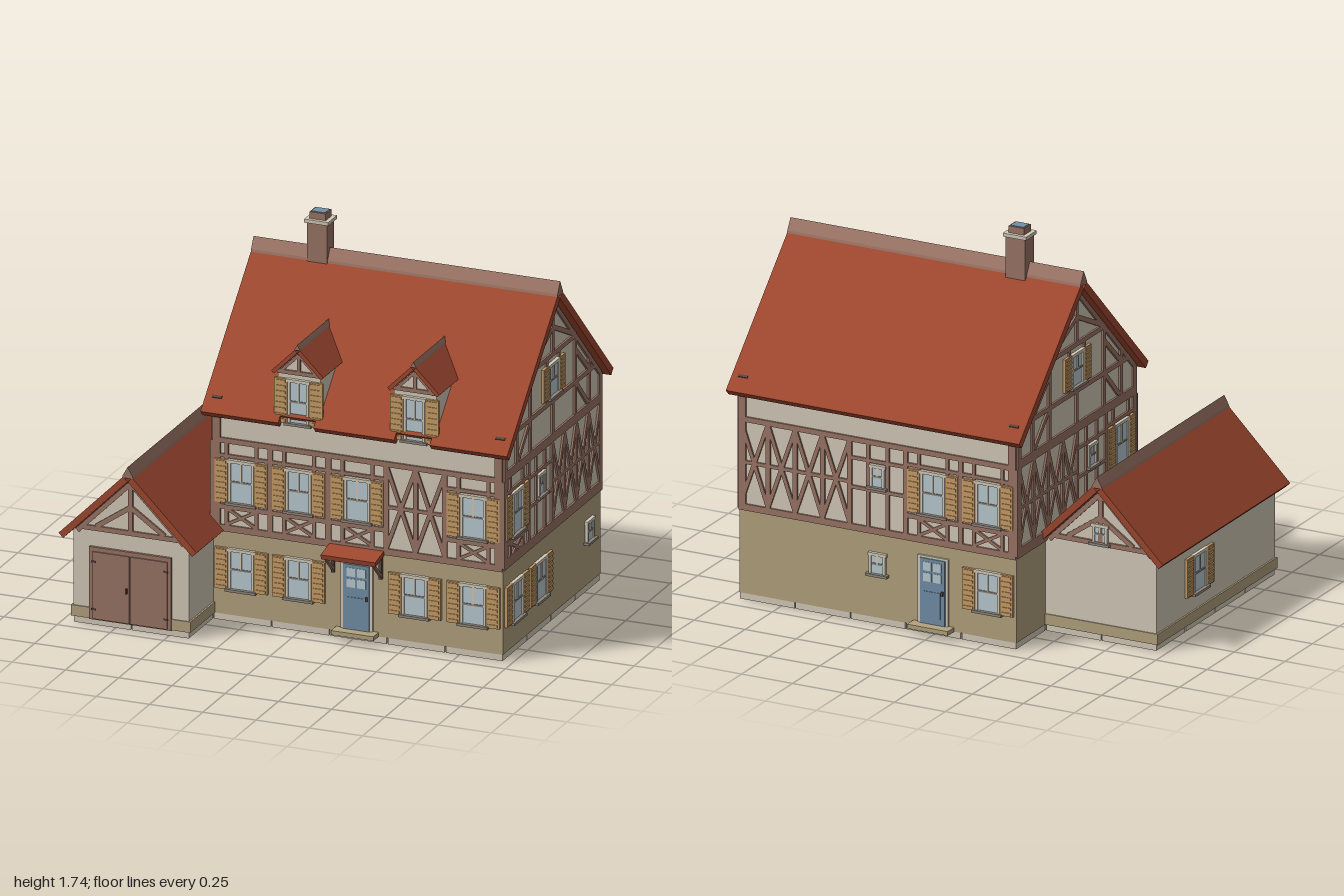
import * as THREE from 'three';

const mat = (name, color) => new THREE.MeshStandardMaterial({ name, color });

export function createModel() {
  const M = {
    roof: mat('roofTile', 0xa04830), plaster: mat('plaster', 0xd6cdbb), stone: mat('sandstone', 0xb4a37f),
    timber: mat('timber', 0x9c7666), shutter: mat('shutterWood', 0xcb9f68), glass: mat('glass', 0xbccdd4),
    door: mat('doorBlue', 0x7391aa), sill: mat('sillStone', 0x8f867c), iron: mat('iron', 0x57463f),
  };
  const model = new THREE.Group();
  model.name = 'house';

  const add = (parent, name, geo, m) => {
    const mesh = new THREE.Mesh(geo, m);
    mesh.name = name;
    parent.add(mesh);
    return mesh;
  };
  // box from centre and size
  const box = (p, name, m, x, y, z, w, h, d) => {
    const b = add(p, name, new THREE.BoxGeometry(w, h, d), m);
    b.position.set(x, y, z);
    return b;
  };
  const group = (p, name, x, y, z, ry = 0) => {
    const g = new THREE.Group();
    g.name = name;
    g.position.set(x, y, z);
    g.rotation.y = ry;
    p.add(g);
    return g;
  };
  const polygon = pts => new THREE.Shape(pts.map(p => new THREE.Vector2(...p)));
  const prism = (pts, depth, centred = true) => {
    const g = new THREE.ExtrudeGeometry(polygon(pts), { depth, bevelEnabled: false });
    return centred ? g.translate(0, 0, -depth / 2) : g;
  };

  // Gable-ended body: profile faces local z
  const gableBody = (p, name, half, y0, y1, apex, depth) =>
    add(p, name, prism([[-half, y0], [half, y0], [half, y1], [0, apex], [-half, y1]], depth), M.plaster);

  // Pitched roof, ridge along local x at the origin; notches cut the front eave
  function pitchedRoof(p, name, width, run, pitch, t, cap, notches = []) {
    const s = run / Math.cos(pitch), w = width / 2;
    [0, 1].forEach(back => {
      const pts = [[w, 0], [-w, 0], [-w, -s]];
      if (!back) for (const [a, b, top] of notches) pts.push([a, -s], [a, -top], [b, -top], [b, -s]);
      pts.push([w, -s]);
      const side = group(p, name + (back ? 'Back' : 'Front'), 0, 0, 0, back * Math.PI);
      add(side, name + 'Slope', prism(pts, t, false), M.roof).rotation.x = pitch - Math.PI / 2;
    });
    const top = t / Math.cos(pitch);
    add(p, 'ridgeCap', prism([[-cap, top - cap], [cap, top - cap], [cap * 0.9, top - cap * 0.6],
      [0, top + cap], [-cap * 0.9, top - cap * 0.6]], width), M.timber).rotation.y = Math.PI / 2;
  }

  // Wall fittings: local x along the wall, y up, z outward
  function beam(p, x1, y1, x2, y2, w = 0.022) {
    const b = box(p, 'beam', M.timber, (x1 + x2) / 2, (y1 + y2) / 2, 0.003,
      Math.hypot(x2 - x1, y2 - y1), w, 0.012);
    b.rotation.z = Math.atan2(y2 - y1, x2 - x1);
  }
  const post = (p, x, y0, y1, w) => beam(p, x, y0, x, y1, w);
  const cross = (p, x0, x1, y0, y1, w = 0.018) => {
    beam(p, x0, y0, x1, y1, w);
    beam(p, x0, y1, x1, y0, w);
  };
  function windowAt(p, x, y0, y1, w = 0.12, shutters = true) {
    const h = y1 - y0, g = group(p, 'window', x, (y0 + y1) / 2, 0);
    box(g, 'glass', M.glass, 0, 0, 0.005, w, h, 0.008);
    for (const s of [-1, 1]) {
      box(g, 'frameSide', M.plaster, s * (w / 2 - 0.006), 0, 0.008, 0.012, h, 0.014);
      if (!shutters) continue;
      const leaf = group(g, 'shutter', s * (w / 2 + 0.033), 0, 0);
      box(leaf, 'shutterLeaf', M.shutter, 0, 0, 0.008, 0.062, h, 0.012);
      for (let i = 0; i < 8; i++)
        box(leaf, 'slat', M.shutter, 0, h * ((i + 0.5) / 8 - 0.5), 0.015, 0.046, h / 16, 0.006);
    }
    box(g, 'frameTop', M.plaster, 0, h / 2 - 0.006, 0.008, w + 0.01, 0.014, 0.016);
    box(g, 'sashRail', M.sill, 0, 0, 0.009, w - 0.02, 0.008, 0.008);
    box(g, 'mullion', M.plaster, 0, h / 4, 0.009, 0.008, h / 2, 0.008);
    box(g, 'sill', M.sill, 0, -h / 2, 0.012, w + 0.025, 0.012, 0.028);
  }
  function doorAt(p, x) {
    const g = group(p, 'frontDoor', x, 0, 0);
    box(g, 'doorFrame', M.plaster, 0, 0.2, 0.003, 0.15, 0.32, 0.012);
    box(g, 'doorLeaf', M.door, 0, 0.2, 0.008, 0.122, 0.3, 0.012);
    for (const s of [-1, 1])
      for (const y of [0.265, 0.315]) box(g, 'doorPane', M.glass, s * 0.025, y, 0.014, 0.04, 0.04, 0.004);
    box(g, 'doorPanel', M.door, 0, 0.14, 0.014, 0.08, 0.12, 0.006);
    box(g, 'doorHandle', M.iron, 0.05, 0.2, 0.018, 0.008, 0.02, 0.01);
    box(g, 'step', M.stone, 0, 0.04, 0.03, 0.2, 0.02, 0.06);
  }

  // Foundation tiles
  const tiles = (x0, z0, nx, nz) => {
    for (let i = 0; i < nx; i++) for (let j = 0; j < nz; j++)
      box(model, 'foundationSlab', M.plaster, x0 + 0.272 * (i + 0.5), 0.015, z0 + 0.2725 * (j + 0.5), 0.266, 0.03, 0.266);
  };
  tiles(-0.405, -0.67, 5, 4);
  tiles(-0.949, -0.4, 2, 4);

  // Main house
  const house = group(model, 'mainHouse', 0.275, 0, -0.125);
  box(house, 'groundFloor', M.stone, 0, 0.225, 0, 1.36, 0.39, 1.09);
  gableBody(house, 'upperFloors', 0.545, 0.42, 0.966, 1.492, 1.36).rotation.y = Math.PI / 2;
  const pitch = Math.atan(0.966);
  const cut = 0.545 / Math.cos(pitch);
  const roof = group(house, 'mainRoof', 0, 1.495, 0);
  pitchedRoof(roof, 'mainRoof', 1.44, 0.57, pitch, 0.035, 0.032,
    [-0.2725, 0.2725].map(c => [c - 0.083, c + 0.083, cut]));
  for (const sx of [-1, 1]) for (const sz of [-1, 1]) {
    const hook = box(house, 'roofHook', M.iron, sx * 0.665, 1.026, sz * 0.538, 0.045, 0.006, 0.012);
    hook.rotation.x = sz * pitch;
  }

  // Timber bay with a window: outer posts, jambs, rails and a small cross
  function windowBay(p, x) {
    for (const s of [-1, 1]) {
      post(p, x + s * 0.135, 0.43, 0.83);
      post(p, x + s * 0.07, 0.43, 0.83, 0.016);
    }
    beam(p, x - 0.135, 0.53, x + 0.135, 0.53);
    beam(p, x - 0.135, 0.765, x + 0.135, 0.765, 0.016);
    cross(p, x - 0.065, x + 0.065, 0.45, 0.52, 0.014);
    windowAt(p, x, 0.55, 0.75);
  }
  // Run of tall crosses
  function crossBays(p, x0, x1, n, y0, y1) {
    const w = (x1 - x0) / n;
    for (let i = 0; i <= n; i++) post(p, x0 + i * w, y0, y1);
    for (let i = 0; i < n; i++) cross(p, x0 + i * w, x0 + (i + 1) * w, y0, y1);
    beam(p, x0, (y0 + y1) / 2, x1, (y0 + y1) / 2, 0.016);
  }
  function smallBay(p, x) {
    for (const s of [-1, 1]) post(p, x + s * 0.048, 0.43, 0.83, 0.016);
    beam(p, x - 0.13, 0.615, x + 0.13, 0.615, 0.016);
    beam(p, x - 0.13, 0.75, x + 0.13, 0.75, 0.016);
    windowAt(p, x, 0.63, 0.735, 0.072, false);
  }
  function eavesWall(p, x0, x1) {
    beam(p, x0, 0.43, x1, 0.43, 0.03);
    beam(p, x0, 0.835, x1, 0.835, 0.024);
    for (const x of [x0 + 0.018, x1 - 0.018]) post(p, x, 0.42, 0.95, 0.036);
  }

  // Front wall
  const front = group(model, 'frontWall', 0, 0, 0.42);
  eavesWall(front, -0.405, 0.955);
  [-0.27, 0, 0.275, 0.82].forEach(x => windowBay(front, x));
  crossBays(front, 0.41, 0.685, 2, 0.445, 0.83);
  [-0.27, 0, 0.545, 0.82].forEach(x => windowAt(front, x, 0.15, 0.34));
  doorAt(front, 0.272);
  const canopy = box(front, 'doorCanopy', M.roof, 0.272, 0.412, 0.052, 0.256, 0.022, 0.108);
  canopy.rotation.x = 0.2;
  for (const s of [-1, 1]) {
    const x = 0.272 + s * 0.112;
    box(front, 'canopyBracket', M.iron, x, 0.35, 0.006, 0.014, 0.1, 0.012);
    box(front, 'canopyStrut', M.timber, x, 0.35, 0.045, 0.012, 0.012, 0.12).rotation.x = -0.75;
  }

  // Back wall
  const back = group(model, 'backWall', 0, 0, -0.67, Math.PI);
  eavesWall(back, -0.955, 0.405);
  crossBays(back, -0.945, -0.41, 4, 0.445, 0.83);
  smallBay(back, -0.272);
  [0, 0.27].forEach(x => windowBay(back, x));
  windowAt(back, 0.27, 0.15, 0.34);
  windowAt(back, -0.272, 0.23, 0.33, 0.08, false);
  doorAt(back, 0);

  // Gable walls, mirrored by m; distances run toward the back from the ridge
  function gableWall(p, m) {
    const at = z => -m * (z + 0.125);
    beam(p, -0.545, 0.443, 0.545, 0.443, 0.046);
    beam(p, -0.545, 0.85, 0.545, 0.85, 0.042);
    for (const s of [-1, 1]) {
      post(p, s * 0.53, 0.46, 0.965, 0.03);
      post(p, s * 0.405, 0.87, 1.09);
      post(p, s * 0.25, 0.87, 1.235);
      post(p, s * 0.068, 1.02, 1.235, 0.018);
      beam(p, s * 0.25, 1.02, s * 0.39, 0.875);
      beam(p, s * 0.25, 1.17, s * 0.4, 1.03);
      beam(p, s * 0.25, 1.24, 0, 1.36);
      beam(p, 0, 1.475, s * 0.53, 0.963);
    }
    beam(p, -0.48, 1.02, 0.48, 1.02);
    beam(p, -0.25, 1.235, 0.25, 1.235);
    post(p, 0, 0.87, 1.02);
    post(p, 0, 1.235, 1.48);
    windowAt(p, 0, 1.045, 1.2, 0.11);
    windowBay(p, at(0.28));
    smallBay(p, at(0.012));
    const a = at(-0.12), b = at(-0.655);
    crossBays(p, Math.min(a, b), Math.max(a, b), 4, 0.465, 0.83);
  }
  const right = group(model, 'rightGable', 0.955, 0, -0.125, Math.PI / 2);
  gableWall(right, 1);
  [-0.405, -0.14].forEach(x => windowAt(right, x, 0.15, 0.335));
  windowAt(right, 0.41, 0.23, 0.33, 0.08, false);
  gableWall(group(model, 'leftGable', -0.405, 0, -0.125, -Math.PI / 2), -1);

  // Dormers
  for (const x of [0, 0.545]) {
    const d = group(model, 'dormer', x, 0, 0);
    gableBody(d, 'dormerWalls', 0.1, 0.94, 1.193, 1.293, 0.371).position.z = 0.2365;
    pitchedRoof(group(d, 'dormerRoof', 0, 1.295, 0.245, Math.PI / 2), 'dormerRoof', 0.4, 0.11, Math.PI / 4, 0.018, 0.013);
    const f = group(d, 'dormerFront', 0, 0, 0.422);
    windowAt(f, 0, 0.96, 1.165, 0.1);
    beam(f, -0.1, 1.195, 0.1, 1.195, 0.018);
    post(f, 0, 1.195, 1.28, 0.016);
    for (const s of [-1, 1]) beam(f, 0, 1.28, s * 0.09, 1.19, 0.014);
  }

  // Chimney
  const ch = group(model, 'chimney', -0.133, 0, -0.13);
  box(ch, 'chimneyStack', M.timber, 0, 1.56, 0, 0.095, 0.27, 0.08);
  box(ch, 'chimneyCap', M.plaster, 0, 1.698, 0, 0.114, 0.016, 0.098);
  box(ch, 'chimneyPot', M.timber, 0, 1.72, 0, 0.076, 0.034, 0.064);
  box(ch, 'flueTop', M.door, 0, 1.738, 0, 0.064, 0.004, 0.052);

  // Garage
  const garage = group(model, 'garage', -0.677, 0, 0.145);
  gableBody(garage, 'garageWalls', 0.272, 0.03, 0.426, 0.698, 1.09);
  box(garage, 'garagePlinth', M.stone, 0, 0.055, 0, 0.56, 0.05, 1.1);
  pitchedRoof(group(garage, 'garageRoof', 0, 0.7, 0, Math.PI / 2), 'garageRoof', 1.17, 0.303, Math.PI / 4, 0.03, 0.026);
  const garageTimbers = p => {
    beam(p, -0.23, 0.45, 0.23, 0.45);
    post(p, 0, 0.45, 0.68);
    for (const s of [-1, 1]) {
      beam(p, 0, 0.57, s * 0.16, 0.46);
      beam(p, 0, 0.68, s * 0.25, 0.43);
    }
  };
  const gf = group(garage, 'garageFront', 0, 0, 0.545);
  garageTimbers(gf);
  box(gf, 'garageDoorFrame', M.timber, 0, 0.197, 0.006, 0.385, 0.335, 0.014);
  for (const s of [-1, 1]) {
    box(gf, 'garageDoorLeaf', M.timber, s * 0.089, 0.19, 0.013, 0.174, 0.31, 0.012);
    for (const y of [0.08, 0.3]) box(gf, 'doorHinge', M.iron, s * 0.17, y, 0.02, 0.02, 0.008, 0.004);
  }
  box(gf, 'garageHandle', M.iron, -0.014, 0.185, 0.022, 0.008, 0.025, 0.008);
  const gb = group(garage, 'garageBack', 0, 0, -0.545, Math.PI);
  garageTimbers(gb);
  windowAt(gb, 0, 0.45, 0.54, 0.075, false);
  windowAt(group(garage, 'garageSide', -0.272, 0, 0, -Math.PI / 2), -0.165, 0.16, 0.34);

  return model;
}
